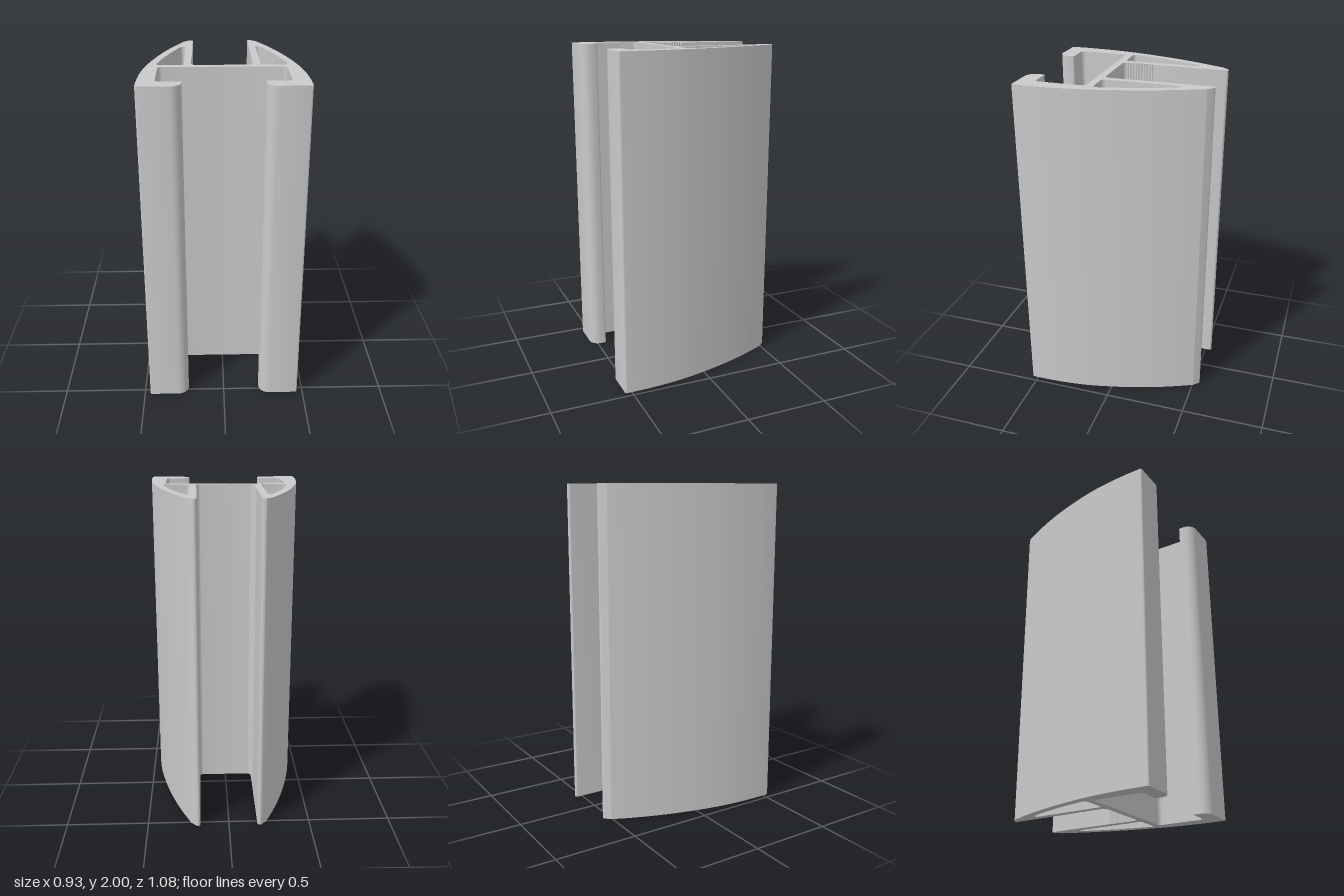
import * as THREE from 'three';
import { toCreasedNormals } from 'three/addons/utils/BufferGeometryUtils.js';

const HEIGHT = 2;

// Turns corners [x, z, radius] into points, rounding each corner with an exact arc.
function roundCorners(corners, steps = 8) {
  const points = [];
  corners.forEach(([x, z, r = 0], i) => {
    const p = new THREE.Vector2(x, z);
    if (!r) return points.push(p);
    const a = corners[(i + corners.length - 1) % corners.length];
    const b = corners[(i + 1) % corners.length];
    const u = new THREE.Vector2(a[0], a[1]).sub(p).normalize();
    const v = new THREE.Vector2(b[0], b[1]).sub(p).normalize();
    const half = Math.acos(u.dot(v)) / 2;
    const cut = r / Math.tan(half);
    const start = p.clone().addScaledVector(u, cut);
    const end = p.clone().addScaledVector(v, cut);
    for (let k = 0; k <= steps; k++) {
      const t = k / steps;
      const w0 = (1 - t) ** 2, w1 = 2 * Math.sin(half) * t * (1 - t), w2 = t * t;
      points.push(new THREE.Vector2()
        .addScaledVector(start, w0).addScaledVector(p, w1).addScaledVector(end, w2)
        .divideScalar(w0 + w1 + w2));
    }
  });
  return points;
}

// Smooth curve through a few [x, z] points, as plain corners.
const curve = (pts, n) => new THREE.SplineCurve(pts.map(([x, z]) => new THREE.Vector2(x, z)))
  .getPoints(n).map((p) => [p.x, p.y]);

// Small gripping grooves along the channel wall.
function grooves() {
  const pts = [], count = 10, pitch = 0.017;
  for (let i = 0; i < count; i++) {
    const z = 0.073 - i * pitch;
    pts.push([0.176, z], [0.1795, z - pitch * 0.25], [0.181, z - pitch * 0.5], [0.1795, z - pitch * 0.75]);
  }
  pts.push([0.176, 0.073 - count * pitch]);
  return pts;
}

const mirror = (pts) => pts.map((p) => new THREE.Vector2(-p.x, p.y)).reverse();
// Plan z runs opposite to shape y once the extrusion is stood upright;
// reversing the order keeps the winding.
const flip = (pts) => pts.map((p) => new THREE.Vector2(p.x, -p.y)).reverse();

export function createModel() {
  const aluminium = new THREE.MeshStandardMaterial({ color: 0xcacaca });
  aluminium.name = 'aluminium grey';

  // Half outline: channel floor, grooved wall, tip, curved flank, hooked foot, slot
  const half = roundCorners([
    [0, 0.0985],
    [0.176, 0.0985, 0.025],
    ...grooves(),
    [0.176, -0.541, 0.014],
    [0.198, -0.541, 0.012],
    ...curve([[0.234, -0.505], [0.303, -0.345], [0.364, -0.17], [0.41, 0],
      [0.443, 0.16], [0.46, 0.31], [0.466, 0.44]], 28),
    [0.466, 0.541, 0.011],
    [0.224, 0.541, 0.063],
    [0.224, 0.442, 0.01],
    [0.367, 0.442, 0.025],
    [0.367, 0.142, 0.025],
    [0, 0.142],
  ]);
  const shape = new THREE.Shape(flip([...half, ...mirror(half).slice(1, -1)]));

  // Hollow chamber inside each fin
  const chamber = roundCorners([
    [0.219, 0.0985, 0.022],
    [0.219, -0.36, 0.014],
    [0.246, -0.36, 0.01],
    ...curve([[0.2535, -0.343], [0.302, -0.21], [0.342, -0.08], [0.375, 0.06]], 16),
    [0.382, 0.0985, 0.022],
  ]);
  shape.holes.push(new THREE.Path(flip(chamber)), new THREE.Path(flip(mirror(chamber))));

  const extrusion = new THREE.ExtrudeGeometry(shape, { depth: HEIGHT, bevelEnabled: false });
  extrusion.rotateX(-Math.PI / 2);
  const profile = new THREE.Mesh(toCreasedNormals(extrusion, 0.32), aluminium);
  profile.name = 'railProfile';

  const model = new THREE.Group();
  model.name = 'extrudedRail';
  model.add(profile);
  return model;
}
